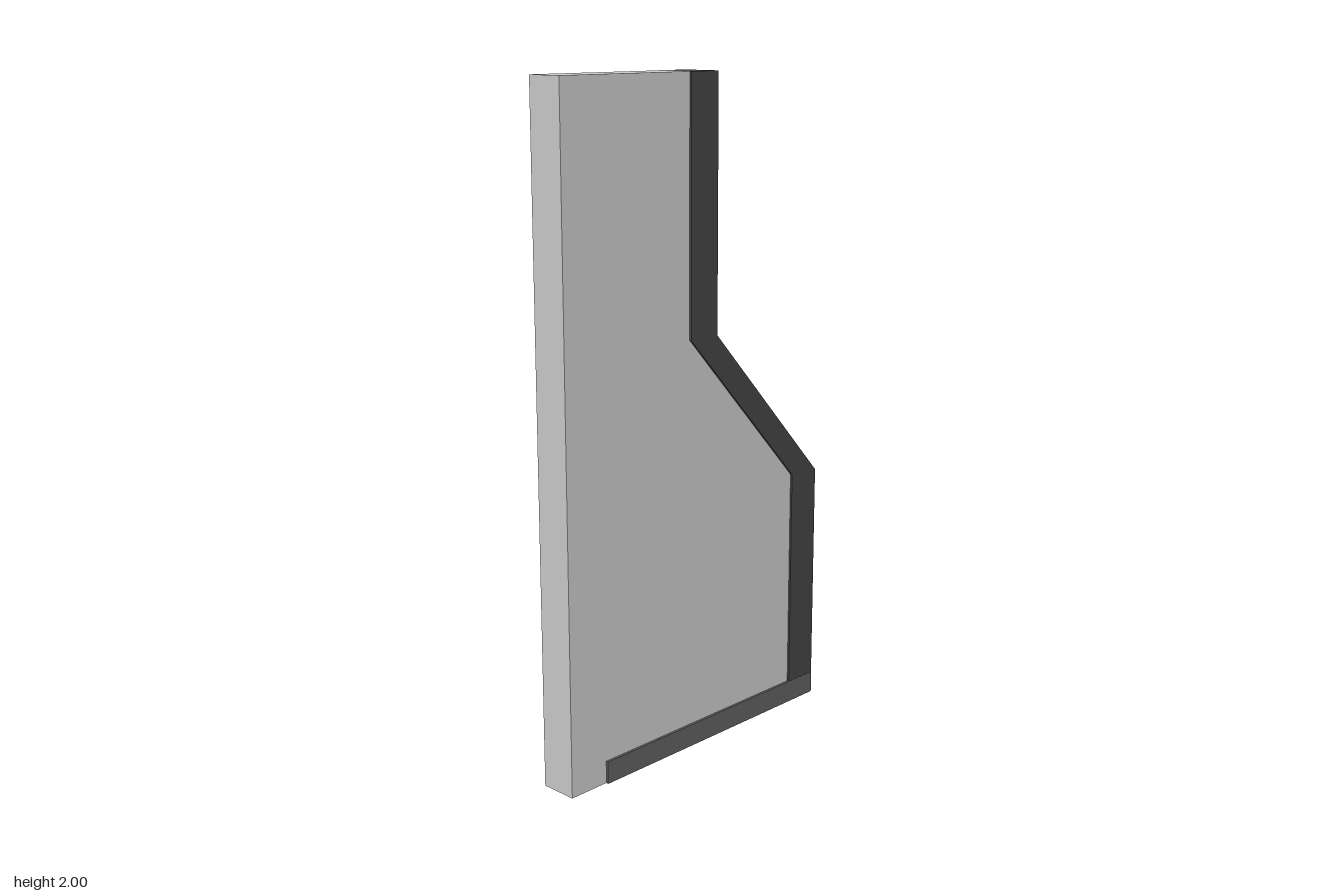
import * as THREE from 'three';

// Upright slab: outline in x/y, extruded symmetrically about z = 0
function slab(name, points, depth, color) {
  const shape = new THREE.Shape(points.map(([x, y]) => new THREE.Vector2(x, y)));
  const geometry = new THREE.ExtrudeGeometry(shape, { depth, bevelEnabled: false });
  geometry.translate(0, 0, -depth / 2);
  const mesh = new THREE.Mesh(geometry, new THREE.MeshStandardMaterial({ color }));
  mesh.name = name;
  return mesh;
}

export function createModel() {
  const group = new THREE.Group();
  group.name = 'steppedPanel';

  // Stepped edge lines, from top to bottom
  const outer = [[0.065, 2], [0.065, 1.25], [0.525, 0.755], [0.525, 0]];
  const inner = [[-0.045, 2], [-0.045, 1.25], [0.412, 0.76], [0.412, 0]];

  // Light main panel, slightly thinner than its edging
  group.add(slab('panel', [[-0.525, 0], ...[...inner].reverse(), [-0.525, 2]], 0.115, 0xcccccc));

  // Dark edging that follows the stepped side
  group.add(slab('edgeTrim', [...inner, ...[...outer].reverse()], 0.128, 0x444444));

  // Strip along the foot, just proud of the edging
  const strip = [[-0.392, -0.0005], [0.5245, -0.0005], [0.5245, 0.068], [-0.392, 0.068]];
  group.add(slab('footStrip', strip, 0.13, 0x606060));

  return group;
}
